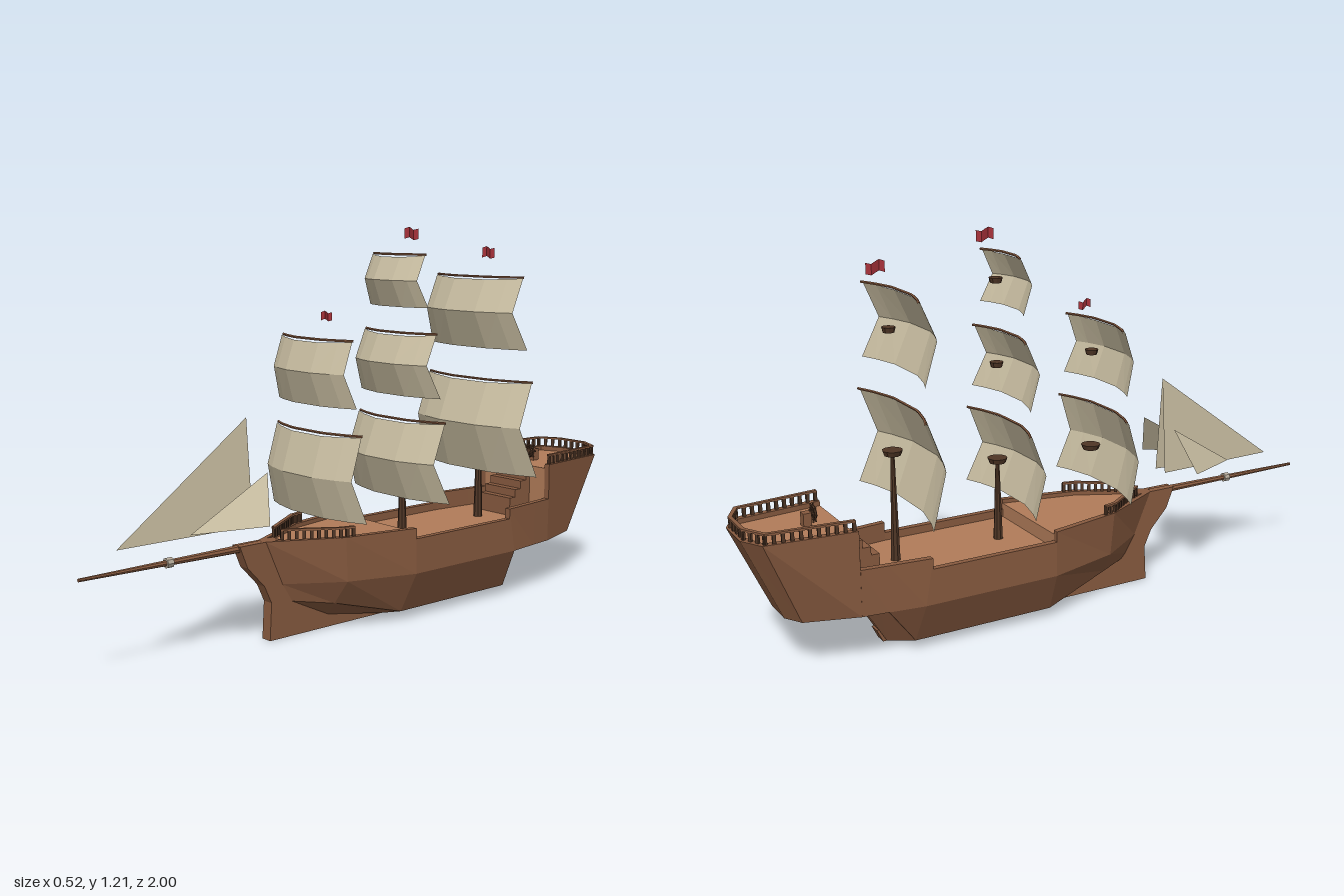
import * as THREE from 'three';

const mat = (color) => new THREE.MeshStandardMaterial({ color, flatShading: true });
const hullMat = mat(0x875a3f), deckMat = mat(0xb17c59), darkMat = mat(0x4f3626);
const sailMat = mat(0xc8bda1), flagMat = mat(0xa8323a), ironMat = mat(0xb5aa9a);
for (const m of [sailMat, flagMat]) m.side = THREE.DoubleSide;

// Surface through rows of points, flat shaded
function loft(rows) {
  const pos = [];
  for (let i = 0; i < rows.length - 1; i++)
    for (let j = 0; j < rows[i].length - 1; j++) {
      const a = rows[i][j], b = rows[i][j + 1], c = rows[i + 1][j], d = rows[i + 1][j + 1];
      pos.push(...a, ...c, ...b, ...b, ...c, ...d);
    }
  return triangles(pos);
}

function triangles(pos) {
  const g = new THREE.BufferGeometry();
  g.setAttribute('position', new THREE.Float32BufferAttribute(pos, 3));
  g.computeVertexNormals();
  return g;
}

const flip = ([x, y, z]) => [-x, y, z];

export function createModel() {
  const ship = new THREE.Group();
  ship.name = 'sailingShip';
  const add = (name, geo, material, x = 0, y = 0, z = 0, parent = ship) => {
    const m = new THREE.Mesh(geo, material);
    m.name = name;
    m.position.set(x, y, z);
    parent.add(m);
    return m;
  };

  // Hull half-sections from bow to stern: keel, chine, knuckle, sheer, deck height
  const S = (k, c, n, t, deck, dz = 0) => {
    const x = Math.max(t[0] - 0.02, 0.002);
    return [k, c, n, t, [x, t[1], t[2] + dz], [x, deck, t[2] + dz]];
  };
  const front = (top, deck) => S([0.025, 0.003, -0.05], [0.12, 0.03, -0.05], [0.18, 0.16, -0.06], [0.18, top, -0.06], deck);
  const quarter = (top) => S([0.025, 0.003, -0.56], [0.12, 0.03, -0.51], [0.18, 0.16, -0.5], [0.18, top, -0.475], 0.245);
  const poop = (top, deck) => S([0.02, 0.16, -0.67], [0.09, 0.16, -0.67], [0.155, 0.16, -0.69], [0.157, top, -0.69], deck);
  const sections = [
    S([0.015, 0.09, 0.29], [0.018, 0.107, 0.3], [0.018, 0.165, 0.335], [0.018, 0.303, 0.395], 0.29),
    S([0.02, 0.04, 0.16], [0.075, 0.09, 0.18], [0.125, 0.165, 0.17], [0.13, 0.303, 0.18], 0.29),
    front(0.303, 0.29), front(0.27, 0.245),
    quarter(0.27), quarter(0.303),
    S([0.02, 0.16, -0.655], [0.09, 0.16, -0.61], [0.165, 0.16, -0.61], [0.166, 0.303, -0.61], 0.245),
    poop(0.303, 0.245), poop(0.42, 0.405),
    S([0.02, 0.16, -0.85], [0.06, 0.16, -0.85], [0.105, 0.16, -0.85], [0.13, 0.42, -0.96], 0.405, 0.01),
    S([0.02, 0.16, -0.883], [0.035, 0.16, -0.883], [0.05, 0.16, -0.883], [0.06, 0.42, -1], 0.405, 0.02),
  ];
  add('hull', loft(sections.map((s) => [...s.slice().reverse().map(flip), ...s])), hullMat);
  add('deck', loft(sections.map((s) => [s[5], flip(s[5])])), deckMat);
  add('transom', loft(sections.at(-1).slice().reverse().map((p) => [p, flip(p)])), hullMat);

  // Keel and raked stem
  const outline = [[0.487, 0.303], [0.46, 0.235], [0.4, 0.17], [0.375, 0.115], [0.382, 0], [-0.57, 0], [-0.59, 0.04], [0.2, 0.06], [0.34, 0.303]];
  const keel = new THREE.ExtrudeGeometry(new THREE.Shape(outline.map((p) => new THREE.Vector2(...p))), { depth: 0.038, bevelEnabled: false });
  keel.rotateY(-Math.PI / 2).translate(0.019, 0, 0);
  add('keel', keel, hullMat);

  // Bowsprit with collar
  add('bowsprit', new THREE.CylinderGeometry(0.005, 0.013, 0.6, 8).rotateX(Math.PI / 2), hullMat, 0, 0.293, 0.7);
  add('bowspritCollar', new THREE.CylinderGeometry(0.015, 0.015, 0.02, 8).rotateX(Math.PI / 2), ironMat, 0, 0.293, 0.717);

  // Railings along a path of [x, z] points
  function railing(name, path, y0, y1, spacing) {
    const g = new THREE.Group();
    g.name = name;
    ship.add(g);
    for (let i = 0; i < path.length - 1; i++) {
      const [ax, az] = path[i], [bx, bz] = path[i + 1];
      const len = Math.hypot(bx - ax, bz - az), turn = Math.atan2(bx - ax, bz - az);
      const bar = add('handrail', new THREE.BoxGeometry(0.012, 0.006, len + 0.006), hullMat, (ax + bx) / 2, y1, (az + bz) / 2, g);
      bar.rotation.y = turn;
      const n = Math.max(2, Math.round(len / spacing));
      for (let k = 0; k <= n; k++) {
        const t = k / n;
        const post = add('baluster', new THREE.BoxGeometry(0.008, y1 - y0, 0.01), darkMat, ax + (bx - ax) * t, (y0 + y1) / 2, az + (bz - az) * t, g);
        post.rotation.y = turn;
      }
    }
  }
  for (const s of [1, -1]) railing('bowRailing', [[s * 0.128, 0.15], [s * 0.118, 0.19], [s * 0.02, 0.335]], 0.3, 0.331, 0.022);
  railing('sternRailing', [[0.147, -0.7], [0.122, -0.95], [0.055, -0.988], [-0.055, -0.988], [-0.122, -0.95], [-0.147, -0.7]], 0.415, 0.45, 0.025);

  // Stairs up to the poop deck
  for (let i = 0; i < 4; i++) {
    const h = 0.06 + i * 0.026;
    add('stairStep', new THREE.BoxGeometry(0.14, h, 0.027), hullMat, 0, 0.245 + h / 2, -0.607 - i * 0.026);
  }

  // Steering wheel
  const helm = new THREE.Group();
  helm.name = 'helm';
  helm.position.set(0, 0.405, -0.775);
  ship.add(helm);
  add('helmStand', new THREE.BoxGeometry(0.025, 0.04, 0.025), hullMat, 0, 0.02, -0.01, helm);
  add('helmWheel', new THREE.TorusGeometry(0.02, 0.004, 5, 12), darkMat, 0, 0.035, 0.012, helm);
  for (let i = 0; i < 4; i++)
    add('helmSpoke', new THREE.BoxGeometry(0.06, 0.004, 0.004), darkMat, 0, 0.035, 0.012, helm).rotation.z = i * Math.PI / 4;

  // Square sails: swept back at the ends, pushed forward at mid height
  const us = [-1, -0.75, -0.35, 0.35, 0.75, 1], sweep = [1, 0.5, 0, 0, 0.5, 1];
  function squareSail(m, w, top, mid, bottom, belly) {
    const back = 0.015 + w * 0.14;
    const row = (y, hw, z) => us.map((u, i) => [u * hw, y + (y === top ? 0.006 * sweep[i] : 0), m + z - back * sweep[i]]);
    add('squareSail', loft([row(top, w, 0.052), row(mid, w, belly), row(bottom, w * 1.11, 0.05)]), sailMat);
    const path = new THREE.CurvePath(), pts = row(top + 0.008, w, 0.046).map((p) => new THREE.Vector3(...p));
    for (let i = 0; i < 5; i++) path.add(new THREE.LineCurve3(pts[i], pts[i + 1]));
    add('yard', new THREE.TubeGeometry(path, 20, 0.004, 5), hullMat);
  }

  // Each mast: z, visible pole [bottom, top], sails [half width, top, middle, bottom], flag height and size
  const masts = [
    { z: 0.172, belly: 0.09, flag: [0.95, 0.75], sails: [[0.2, 0.605, 0.485, 0.358], [0.165, 0.88, 0.793, 0.692]] },
    { z: -0.165, pole: [0.245, 0.5], belly: 0.098, flag: [1.19, 1], sails: [[0.2, 0.61, 0.495, 0.37], [0.165, 0.88, 0.795, 0.692], [0.12, 1.12, 1.05, 0.967]] },
    { z: -0.512, pole: [0.245, 0.58], belly: 0.105, flag: [1.125, 1], sails: [[0.235, 0.71, 0.575, 0.415], [0.195, 1.042, 0.94, 0.82]] },
  ];
  for (const { z, pole, belly, flag, sails } of masts) {
    if (pole) add('mast', new THREE.CylinderGeometry(0.006, 0.015, pole[1] - pole[0], 8), darkMat, 0, (pole[0] + pole[1]) / 2, z);
    sails.forEach(([w, t, m, b], i) => {
      squareSail(z, w, t, m, b, belly - i * 0.006);
      const r = i ? 0.021 : 0.031;
      add('crowsNest', new THREE.CylinderGeometry(r, r * 0.8, 0.016, 10), darkMat, 0, m + 0.004, z);
    });
    // Waving pennant
    const [fy, fs] = flag;
    const wave = [0, 1, 2, 3, 4].map((i) => {
      const x = Math.sin(i * 1.6) * 0.006, y = fy + Math.sin(i * 1.5) * 0.005, fz = z - 0.005 - i * 0.0145 * fs;
      return [[x, y + 0.016 * fs, fz], [x, y - 0.016 * fs, fz]];
    });
    add('flag', loft(wave), flagMat);
  }

  // Triangular head sails
  const tip = [0, 0.355, 0.883], peak = [0, 0.675, 0.445], clew = [0.026, 0.361, 0.445];
  const staysail = [[0.085, 0.525, 0.435], [0.055, 0.375, 0.68], [0.155, 0.387, 0.48]];
  add('jib', triangles([...tip, ...clew, ...peak, ...tip, ...peak, ...flip(clew)]), sailMat);
  add('leftStaysail', triangles(staysail.flat()), sailMat);
  add('rightStaysail', triangles(staysail.map(flip).reverse().flat()), sailMat);

  return ship;
}
